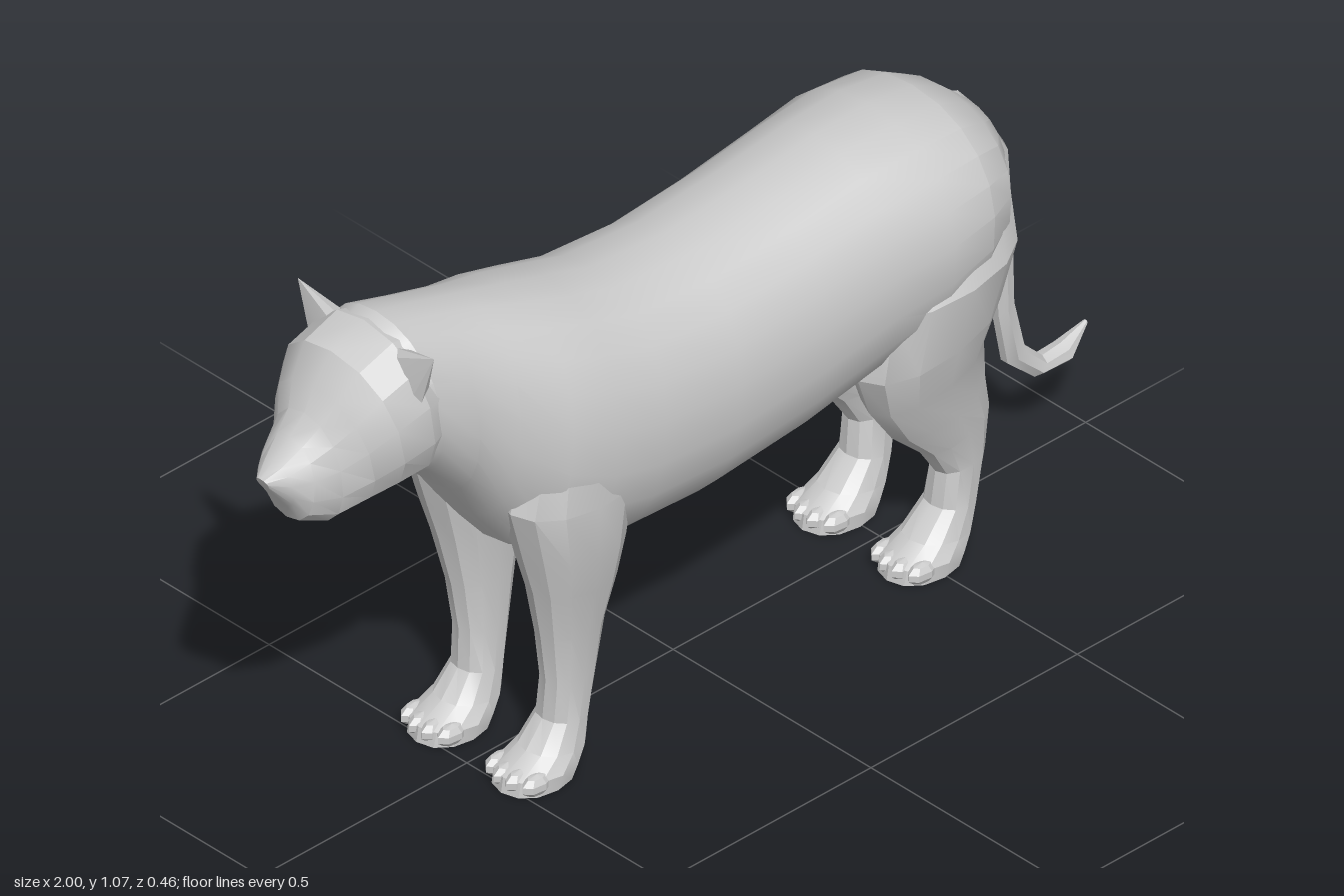
import * as THREE from 'three';
import { toCreasedNormals } from 'three/addons/utils/BufferGeometryUtils.js';

const material = new THREE.MeshStandardMaterial({ color: 0xcccccc });

function part(name, geometry) {
  const mesh = new THREE.Mesh(toCreasedNormals(geometry, 0.42), material);
  mesh.name = name;
  return mesh;
}

// Skin over cross-sections. Each ring is [x1, y1, x2, y2, halfWidth, zCentre]:
// two opposite points of its outline in the side plane, and its spread in z.
function loft(rings, sides, side = 1, power = 0.92) {
  const pos = [], index = [];
  const soft = (v) => Math.sign(v) * Math.abs(v) ** power;
  for (const [x1, y1, x2, y2, w, zc = 0] of rings) {
    for (let i = 0; i < sides; i++) {
      const a = (i / sides) * Math.PI * 2;
      const t = 0.5 - 0.5 * soft(Math.cos(a));
      pos.push(x1 + (x2 - x1) * t, y1 + (y2 - y1) * t, side * zc + w * soft(Math.sin(a)));
    }
  }
  for (let r = 0; r < rings.length - 1; r++) {
    for (let i = 0; i < sides; i++) {
      const a = r * sides + i, b = r * sides + (i + 1) % sides;
      index.push(a, b, b + sides, a, b + sides, a + sides);
    }
  }
  // End caps
  for (const r of [0, rings.length - 1]) {
    const [x1, y1, x2, y2, , zc = 0] = rings[r];
    const centre = pos.length / 3;
    pos.push((x1 + x2) / 2, (y1 + y2) / 2, side * zc);
    for (let i = 0; i < sides; i++) {
      const a = r * sides + i, b = r * sides + (i + 1) % sides;
      if (r === 0) index.push(centre, b, a);
      else index.push(centre, a, b);
    }
  }
  // Signed volume tells whether the faces point outward
  let volume = 0;
  const p = (i) => new THREE.Vector3().fromArray(pos, i * 3);
  for (let i = 0; i < index.length; i += 3) {
    volume += p(index[i]).dot(p(index[i + 1]).cross(p(index[i + 2])));
  }
  if (volume < 0) index.reverse();
  const g = new THREE.BufferGeometry();
  g.setAttribute('position', new THREE.Float32BufferAttribute(pos, 3));
  g.setIndex(index);
  return g;
}

const BODY = [
  [-0.80, 1.04, -0.73, 0.76, 0.12],
  [-0.72, 1.072, -0.67, 0.725, 0.142],
  [-0.62, 1.045, -0.59, 0.645, 0.142],
  [-0.51, 1.012, -0.53, 0.56, 0.158],
  [-0.41, 0.982, -0.46, 0.47, 0.20],
  [-0.31, 0.95, -0.36, 0.42, 0.214],
  [-0.20, 0.915, -0.25, 0.40, 0.216],
  [-0.02, 0.90, -0.06, 0.39, 0.215],
  [0.18, 0.915, 0.16, 0.41, 0.215],
  [0.34, 0.935, 0.34, 0.445, 0.216],
  [0.47, 0.938, 0.46, 0.48, 0.23],
  [0.58, 0.925, 0.56, 0.52, 0.22],
  [0.655, 0.885, 0.63, 0.56, 0.185],
  [0.705, 0.84, 0.675, 0.64, 0.12],
  [0.73, 0.80, 0.70, 0.72, 0.045],
];

const HEAD = [
  [-1.00, 0.848, -0.99, 0.825, 0.015],
  [-0.97, 0.872, -0.955, 0.775, 0.045],
  [-0.93, 0.905, -0.937, 0.738, 0.068],
  [-0.895, 0.94, -0.875, 0.71, 0.088],
  [-0.872, 0.985, -0.815, 0.73, 0.122],
  [-0.83, 1.04, -0.765, 0.742, 0.15],
  [-0.75, 1.068, -0.70, 0.74, 0.152],
  [-0.68, 1.05, -0.65, 0.76, 0.13],
];

const FRONT_LEG = [
  [-0.46, 0.76, -0.28, 0.76, 0.07, 0.12],
  [-0.515, 0.60, -0.24, 0.58, 0.085, 0.125],
  [-0.48, 0.48, -0.255, 0.46, 0.075, 0.122],
  [-0.455, 0.40, -0.27, 0.38, 0.062, 0.12],
  [-0.43, 0.29, -0.29, 0.29, 0.048, 0.113],
  [-0.415, 0.19, -0.307, 0.19, 0.043, 0.11],
  [-0.42, 0.11, -0.325, 0.10, 0.045, 0.107],
  [-0.46, 0.06, -0.335, 0.05, 0.056, 0.107],
  [-0.515, 0.03, -0.35, 0.025, 0.066, 0.107],
  [-0.52, 0, -0.365, 0, 0.064, 0.107],
];

const HIND_LEG = [
  [0.43, 0.80, 0.69, 0.79, 0.065, 0.105],
  [0.34, 0.62, 0.68, 0.65, 0.098, 0.132],
  [0.325, 0.48, 0.645, 0.54, 0.09, 0.128],
  [0.36, 0.39, 0.618, 0.45, 0.072, 0.12],
  [0.42, 0.305, 0.63, 0.36, 0.058, 0.115],
  [0.49, 0.24, 0.643, 0.29, 0.048, 0.113],
  [0.53, 0.18, 0.636, 0.20, 0.042, 0.11],
  [0.522, 0.11, 0.615, 0.10, 0.046, 0.107],
  [0.47, 0.06, 0.602, 0.05, 0.056, 0.107],
  [0.42, 0.03, 0.588, 0.025, 0.066, 0.107],
  [0.415, 0, 0.575, 0, 0.064, 0.107],
];

const TAIL = [
  [0.69, 0.86, 0.65, 0.76, 0.05],
  [0.74, 0.80, 0.705, 0.755, 0.038],
  [0.80, 0.70, 0.75, 0.68, 0.028],
  [0.813, 0.55, 0.772, 0.55, 0.023],
  [0.82, 0.36, 0.778, 0.34, 0.02],
  [0.85, 0.24, 0.80, 0.225, 0.02],
  [0.895, 0.195, 0.865, 0.166, 0.024],
  [0.94, 0.20, 0.95, 0.16, 0.024],
  [1.00, 0.22, 1.00, 0.212, 0.005],
];

// Cupped ear: a cone whose forward half is pressed nearly flat
function ear(side) {
  const g = new THREE.ConeGeometry(0.066, 0.115, 8, 1);
  const pos = g.attributes.position;
  for (let i = 0; i < pos.count; i++) {
    const x = pos.getX(i);
    pos.setX(i, x < 0 ? x * 0.3 : x * 0.7);
  }
  g.rotateX(side * 0.8);
  g.translate(-0.745, 1.028, side * 0.131);
  return g;
}

// Low-poly toe at the front of a paw
function toe(x, z) {
  const g = new THREE.SphereGeometry(1, 7, 5);
  g.scale(0.035, 0.021, 0.019);
  g.translate(x, 0.022, z);
  return g;
}

export function createModel() {
  const model = new THREE.Group();
  model.name = 'bigCat';
  model.add(part('body', loft(BODY, 22)));
  model.add(part('head', loft(HEAD, 14)));
  model.add(part('tail', loft(TAIL, 7, 1, 1)));

  for (const [side, label] of [[1, 'left'], [-1, 'right']]) {
    model.add(part(label + 'Ear', ear(side)));
    for (const [name, rings, toeX] of [['FrontLeg', FRONT_LEG, -0.495], ['HindLeg', HIND_LEG, 0.44]]) {
      const leg = new THREE.Group();
      leg.name = label + name;
      leg.add(part('limb', loft(rings, 12, side)));
      for (let i = 0; i < 4; i++) {
        const off = (i - 1.5) * 0.031;
        leg.add(part('toe', toe(toeX + Math.abs(off) * 0.35, side * 0.107 + off)));
      }
      model.add(leg);
    }
  }
  return model;
}
